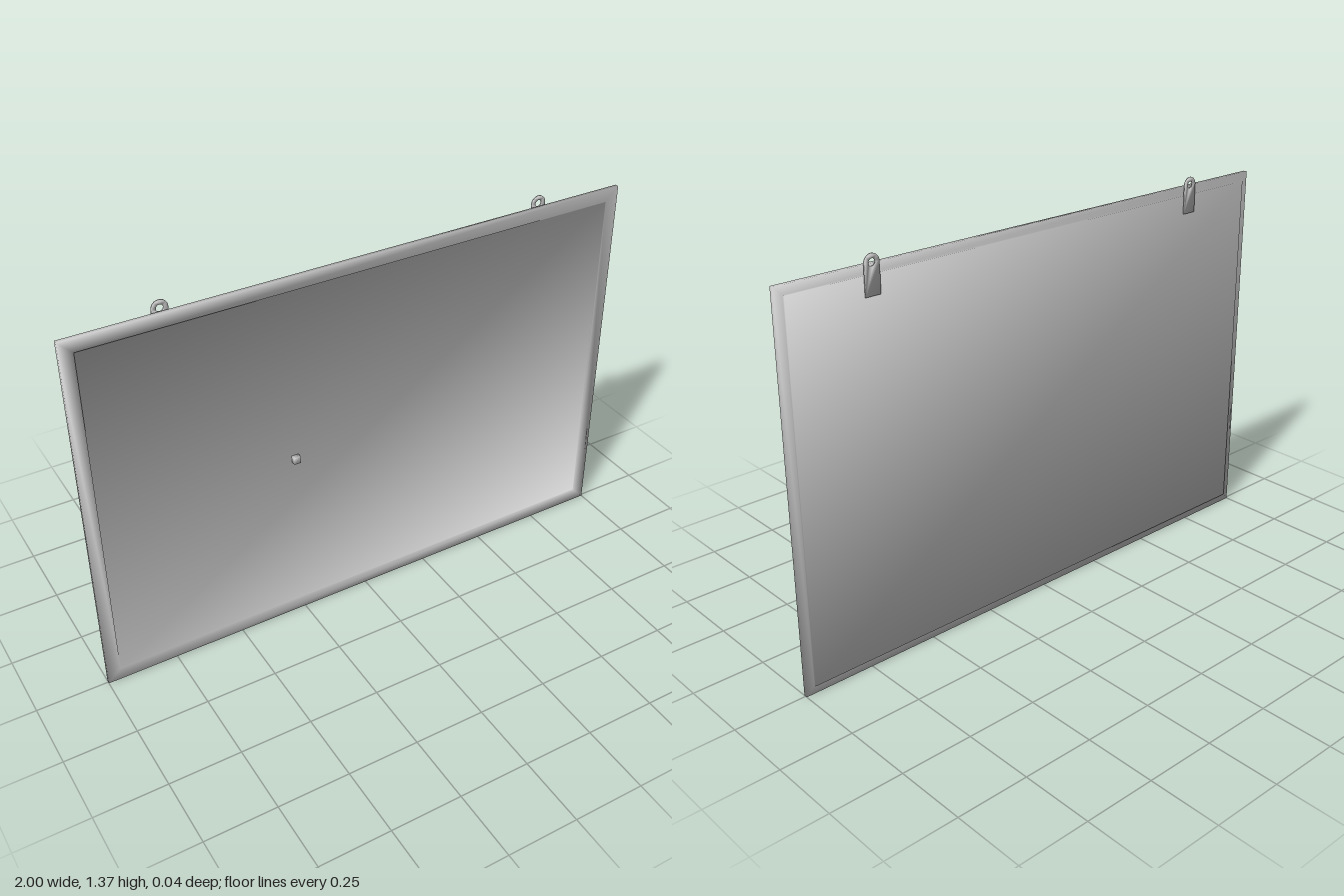
import * as THREE from 'three';
import { mergeVertices } from 'three/addons/utils/BufferGeometryUtils.js';

const HEIGHT = 1.335;
const grey = new THREE.MeshStandardMaterial({ color: 0xcccccc });

function addMesh(group, name, geometry, x = 0, y = 0, z = 0) {
  const mesh = new THREE.Mesh(geometry, grey);
  mesh.name = name;
  mesh.position.set(x, y, z);
  group.add(mesh);
}

// Welds corners and shades across every edge, weighting each face by its corner angle
function smooth(source) {
  source.deleteAttribute('normal');
  source.deleteAttribute('uv');
  const geometry = mergeVertices(source, 1e-5);
  const position = geometry.attributes.position;
  const index = geometry.index;
  const normals = Array.from({ length: position.count }, () => new THREE.Vector3());
  for (let f = 0; f < index.count; f += 3) {
    const ids = [0, 1, 2].map((k) => index.getX(f + k));
    const corners = ids.map((id) => new THREE.Vector3().fromBufferAttribute(position, id));
    const faceNormal = new THREE.Triangle(...corners).getNormal(new THREE.Vector3());
    ids.forEach((id, k) => {
      const toNext = corners[(k + 1) % 3].clone().sub(corners[k]);
      const toLast = corners[(k + 2) % 3].clone().sub(corners[k]);
      normals[id].addScaledVector(faceNormal, toNext.angleTo(toLast));
    });
  }
  const flat = normals.flatMap((n) => n.normalize().toArray());
  geometry.setAttribute('normal', new THREE.Float32BufferAttribute(flat, 3));
  return geometry;
}

// Sweeps a profile of [inset, z] points round a rectangle with mitred corners,
// then caps its first point at the back and its last point at the front
function framedPanel(profile) {
  const corners = [[-1, -1], [1, -1], [1, 1], [-1, 1]];
  const point = (k, [inset, z]) => {
    const [sx, sy] = corners[k % 4];
    return [sx * (1 - inset), HEIGHT / 2 + sy * (HEIGHT / 2 - inset), z];
  };
  const positions = [];
  const quad = (a, b, c, d) => positions.push(...a, ...b, ...c, ...a, ...c, ...d);
  for (let k = 0; k < 4; k++) {
    for (let p = 0; p < profile.length - 1; p++) {
      quad(point(k, profile[p]), point(k + 1, profile[p]),
        point(k + 1, profile[p + 1]), point(k, profile[p + 1]));
    }
  }
  const back = profile[0], front = profile[profile.length - 1];
  quad(...[0, 1, 2, 3].map((k) => point(k, front)));
  quad(...[3, 2, 1, 0].map((k) => point(k, back)));
  const geometry = new THREE.BufferGeometry();
  geometry.setAttribute('position', new THREE.Float32BufferAttribute(positions, 3));
  return smooth(geometry);
}

// Flat hanging tab with a round top and an eyelet
function hangerGeometry() {
  const r = 0.027, eyeY = 1.341;
  const shape = new THREE.Shape();
  shape.moveTo(-r, 1.24);
  shape.lineTo(r, 1.24);
  shape.lineTo(r, eyeY);
  shape.absarc(0, eyeY, r, 0, Math.PI, false);
  shape.closePath();
  const eye = new THREE.Path();
  eye.absarc(0, eyeY, 0.012, 0, Math.PI * 2, true);
  shape.holes.push(eye);
  return smooth(new THREE.ExtrudeGeometry(shape, { depth: 0.0045, bevelEnabled: false, curveSegments: 16 }));
}

export function createModel() {
  const board = new THREE.Group();
  board.name = 'whiteboard';

  // Raised backing, frame rail and recessed writing surface in one skin
  addMesh(board, 'framedPanel', framedPanel([
    [0.03, -0.0145], [0.03, -0.007], [0, -0.007],
    [0, 0.0065], [0.047, 0.0065], [0.047, 0.003],
  ]));

  // Pair of hangers at the back of the top edge
  for (const side of [-1, 1]) {
    addMesh(board, side < 0 ? 'rightHanger' : 'leftHanger', hangerGeometry(), side * 0.678, 0, -0.019);
  }

  // Small cube magnet on the writing surface
  addMesh(board, 'magnet', smooth(new THREE.BoxGeometry(0.025, 0.025, 0.018)), -0.268, 0.661, 0.012);

  return board;
}
